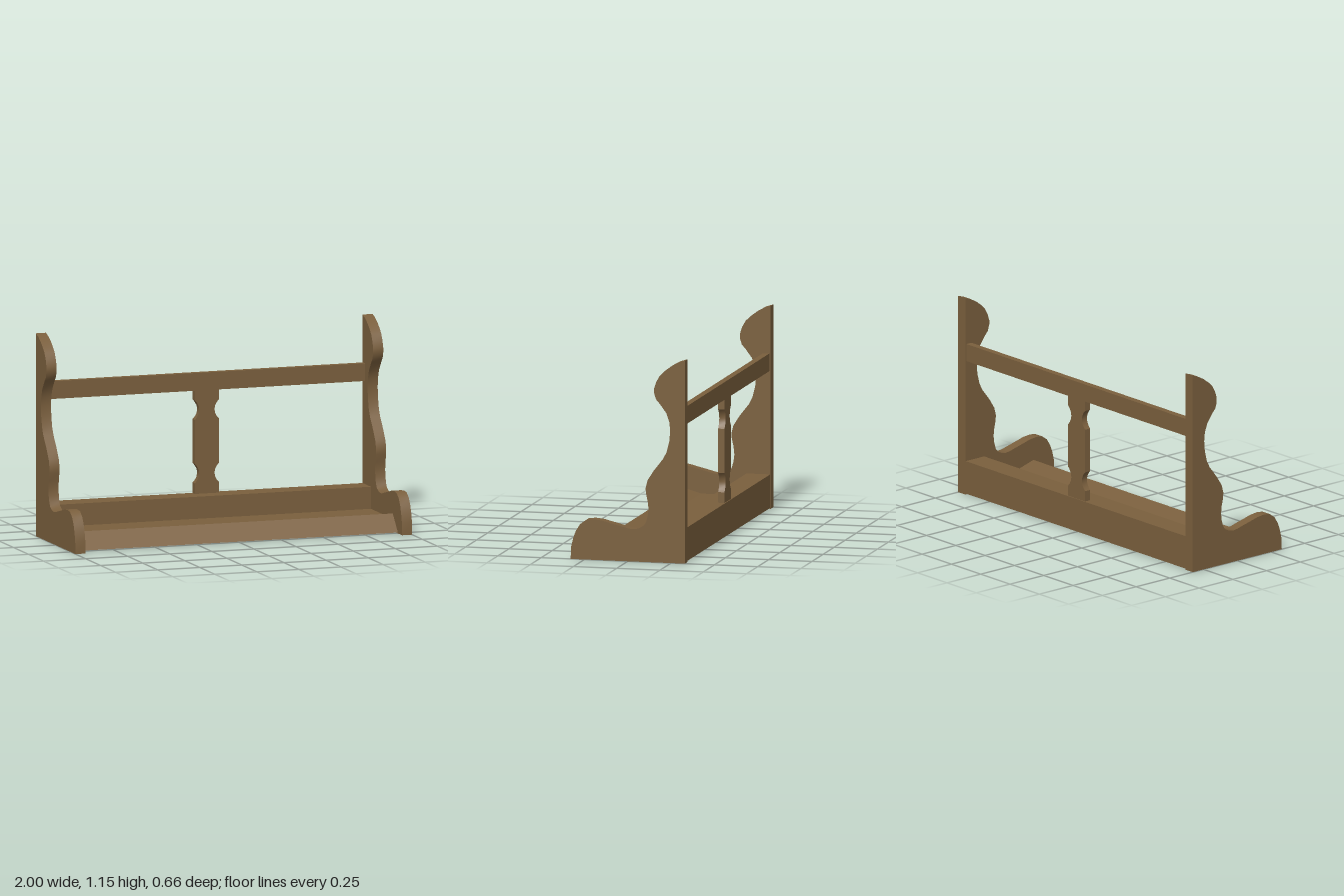
import * as THREE from 'three';
import { toCreasedNormals } from 'three/addons/utils/BufferGeometryUtils.js';

const wood = new THREE.MeshStandardMaterial({ color: 0x7a5f3d });
wood.name = 'brown wood';

// Scrolled edge of a side panel, as [z, y] from front foot to top
const scroll = [
  [0.33, 0], [0.327, 0.07], [0.315, 0.12], [0.3, 0.16], [0.275, 0.2], [0.24, 0.225],
  [0.2, 0.23], [0.15, 0.225], [0.1, 0.212], [0.05, 0.2], [0, 0.187], [-0.03, 0.183],
  [-0.06, 0.188], [-0.09, 0.203], [-0.105, 0.225], [-0.115, 0.26], [-0.12, 0.3],
  [-0.115, 0.345], [-0.105, 0.39], [-0.103, 0.42], [-0.115, 0.465], [-0.15, 0.52],
  [-0.205, 0.59], [-0.225, 0.63], [-0.24, 0.69], [-0.245, 0.75], [-0.24, 0.8],
  [-0.222, 0.85], [-0.185, 0.9], [-0.163, 0.925], [-0.152, 0.96], [-0.152, 0.985],
  [-0.165, 1.025], [-0.185, 1.06], [-0.21, 1.085], [-0.25, 1.115], [-0.29, 1.137],
  [-0.33, 1.15],
];

// Extrudes a [z, y] outline along x, centred on x = 0
function extrudeAlongX(points, width) {
  const shape = new THREE.Shape(points.map(([z, y]) => new THREE.Vector2(-z, y)));
  const geo = new THREE.ExtrudeGeometry(shape, { depth: width, bevelEnabled: false });
  geo.translate(0, 0, -width / 2);
  geo.rotateY(Math.PI / 2);
  return geo;
}

function addPart(group, name, geo, x = 0, y = 0, z = 0) {
  const mesh = new THREE.Mesh(geo, wood);
  mesh.name = name;
  mesh.position.set(x, y, z);
  group.add(mesh);
}

export function createModel() {
  const group = new THREE.Group();
  group.name = 'wallShelf';

  // Two mirrored scrolled side panels
  const panel = toCreasedNormals(extrudeAlongX([...scroll, [-0.33, 0]], 0.06), 0.6);
  addPart(group, 'leftSidePanel', panel, 0.97);
  addPart(group, 'rightSidePanel', panel, -0.97);

  // Base: sloped front lip, shallow tray, raised ledge at the back
  const base = [
    [0.26, 0.005], [0.175, 0.1], [0.07, 0.07], [-0.19, 0.07],
    [-0.19, 0.195], [-0.327, 0.195], [-0.327, 0.005],
  ];
  addPart(group, 'trayBase', extrudeAlongX(base, 1.88));

  // Top rail between the panels
  addPart(group, 'topRail', new THREE.BoxGeometry(1.88, 0.1, 0.037), 0, 0.83, -0.303);

  // Flat centre splat with a cove cut into each edge near both ends
  const cove = [[0.072, -0.055], [0.06, -0.042], [0.049, -0.022], [0.045, 0], [0.049, 0.022], [0.06, 0.042], [0.072, 0.055]];
  const edge = [[0.072, 0.195]];
  for (const y of [0.31, 0.67]) cove.forEach(([x, dy]) => edge.push([x, y + dy]));
  edge.push([0.072, 0.78]);
  const outline = [...edge, ...edge.map(([x, y]) => [-x, y]).reverse()];
  const splat = new THREE.ExtrudeGeometry(
    new THREE.Shape(outline.map(([x, y]) => new THREE.Vector2(x, y))),
    { depth: 0.037, bevelEnabled: false });
  addPart(group, 'centreSplat', toCreasedNormals(splat, 0.6), 0, 0, -0.3215);

  return group;
}
